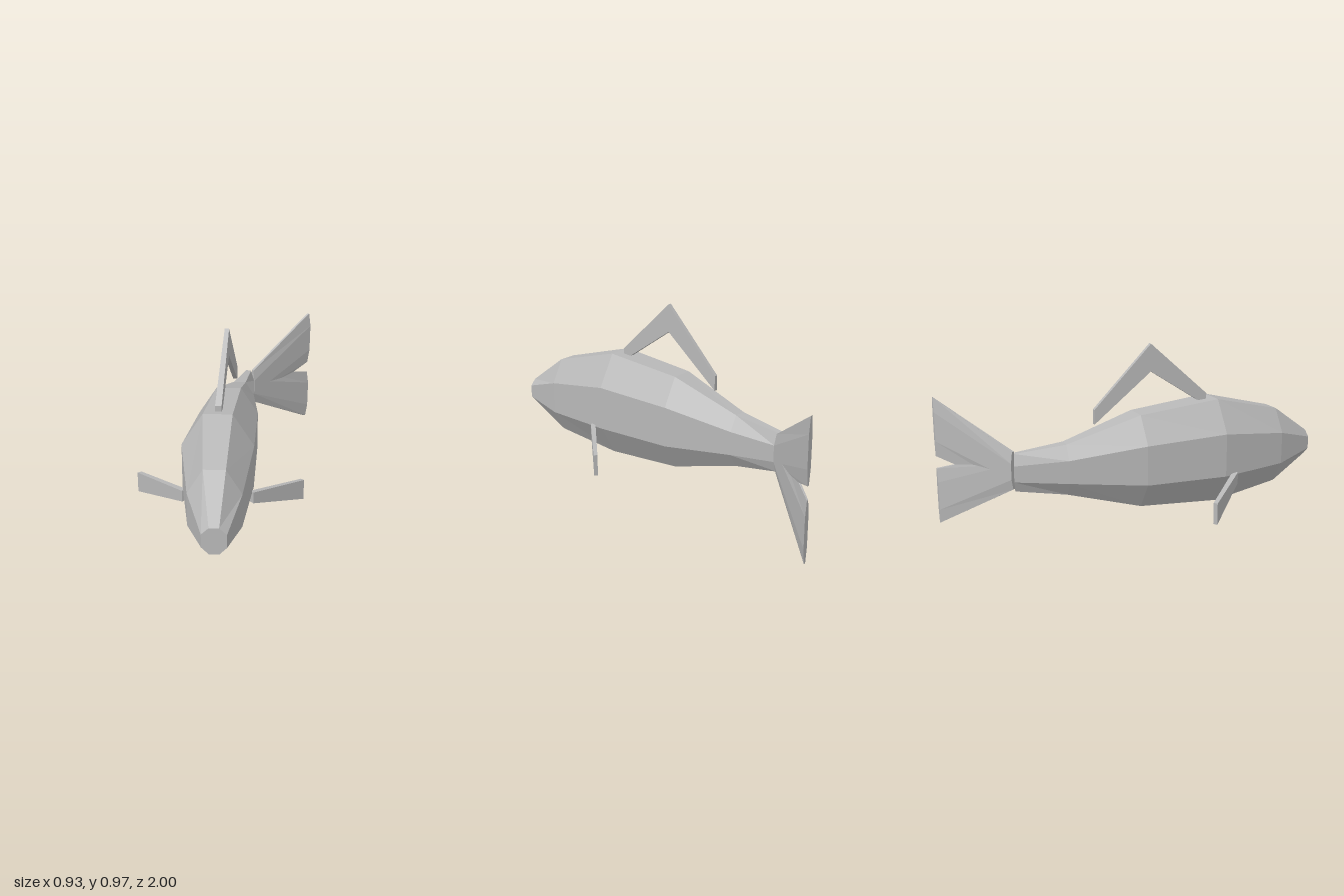
import * as THREE from 'three';

const grey = new THREE.MeshStandardMaterial({ color: 0xb8b8b8 });
grey.name = 'grey';
grey.flatShading = true;

// Eight-sided section: centre (x, z), half-width vector (dx, dz), half-width of the flat top, four heights
function octagon(x, z, dx, dz, flat, top, sideTop, sideBottom, bottom) {
  const f = flat / Math.hypot(dx, dz);
  return [
    [1, sideBottom], [1, sideTop], [f, top], [-f, top],
    [-1, sideTop], [-1, sideBottom], [-f, bottom], [f, bottom],
  ].map(([s, y]) => [x + s * dx, y, z + s * dz]);
}

// Four-sided section for the fins
function blade(x, z, dx, dz, top, bottom) {
  return [[1, bottom], [1, top], [-1, top], [-1, bottom]]
    .map(([s, y]) => [x + s * dx, y, z + s * dz]);
}

// Skin a row of sections and close both ends
function loft(name, rings) {
  const pos = [];
  const tri = (a, b, c) => pos.push(...a, ...b, ...c);
  const n = rings[0].length;
  for (let r = 0; r < rings.length - 1; r++) {
    const a = rings[r], b = rings[r + 1];
    for (let i = 0; i < n; i++) {
      const j = (i + 1) % n;
      tri(a[i], b[i], a[j]);
      tri(b[i], b[j], a[j]);
    }
  }
  const first = rings[0], last = rings[rings.length - 1];
  for (let i = 1; i < n - 1; i++) {
    tri(first[0], first[i], first[i + 1]);
    tri(last[0], last[i + 1], last[i]);
  }
  const geo = new THREE.BufferGeometry();
  geo.setAttribute('position', new THREE.Float32BufferAttribute(pos, 3));
  geo.computeVertexNormals();
  const mesh = new THREE.Mesh(geo, grey);
  mesh.name = name;
  return mesh;
}

export function createModel() {
  const fish = new THREE.Group();
  fish.name = 'fish';

  // Body, from blunt nose to tail root, curving towards +x
  fish.add(loft('body', [
    octagon(-0.02, 1.0, 0.057, 0, 0.023, 0.418, 0.385, 0.318, 0.283),
    octagon(-0.03, 0.77, 0.127, 0, 0.052, 0.577, 0.453, 0.28, 0.16),
    octagon(-0.035, 0.39, 0.178, 0, 0.072, 0.67, 0.502, 0.27, 0.105),
    octagon(0, -0.04, 0.155, 0, 0.064, 0.617, 0.473, 0.262, 0.12),
    octagon(0.047, -0.42, 0.08, 0.005, 0.033, 0.485, 0.41, 0.288, 0.215),
    octagon(0.092, -0.675, 0.033, 0.015, 0.015, 0.45, 0.39, 0.305, 0.25),
  ]));

  // Tail: two lobes spreading from the same root
  const root = octagon(0.116, -0.675, 0.011, 0.016, 0.008, 0.45, 0.39, 0.305, 0.25);
  fish.add(loft('upperTailLobe', [root, octagon(0.449, -1, 0.017, 0, 0.006, 0.70, 0.62, 0.46, 0.378)]));
  fish.add(loft('lowerTailLobe', [root, octagon(0.449, -1, 0.017, 0, 0.006, 0.31, 0.235, 0.08, 0.003)]));

  // Back fin: an open arch along the spine
  fish.add(loft('backFin', [
    blade(-0.034, 0.35, 0.016, 0, 0.695, 0.63),
    blade(-0.006, 0.04, 0.011, 0, 0.977, 0.832),
    blade(0.026, -0.265, 0.011, 0, 0.65, 0.573),
  ]));

  // Side fins, swept back and down
  fish.add(loft('leftFin', [
    blade(0.134, 0.457, 0.009, 0.009, 0.283, 0.222),
    blade(0.392, 0.232, 0.008, 0.006, 0.23, 0.117),
  ]));
  fish.add(loft('rightFin', [
    blade(-0.198, 0.455, 0.012, -0.009, 0.283, 0.222),
    blade(-0.457, 0.192, 0.01, -0.006, 0.23, 0.117),
  ]));

  return fish;
}
